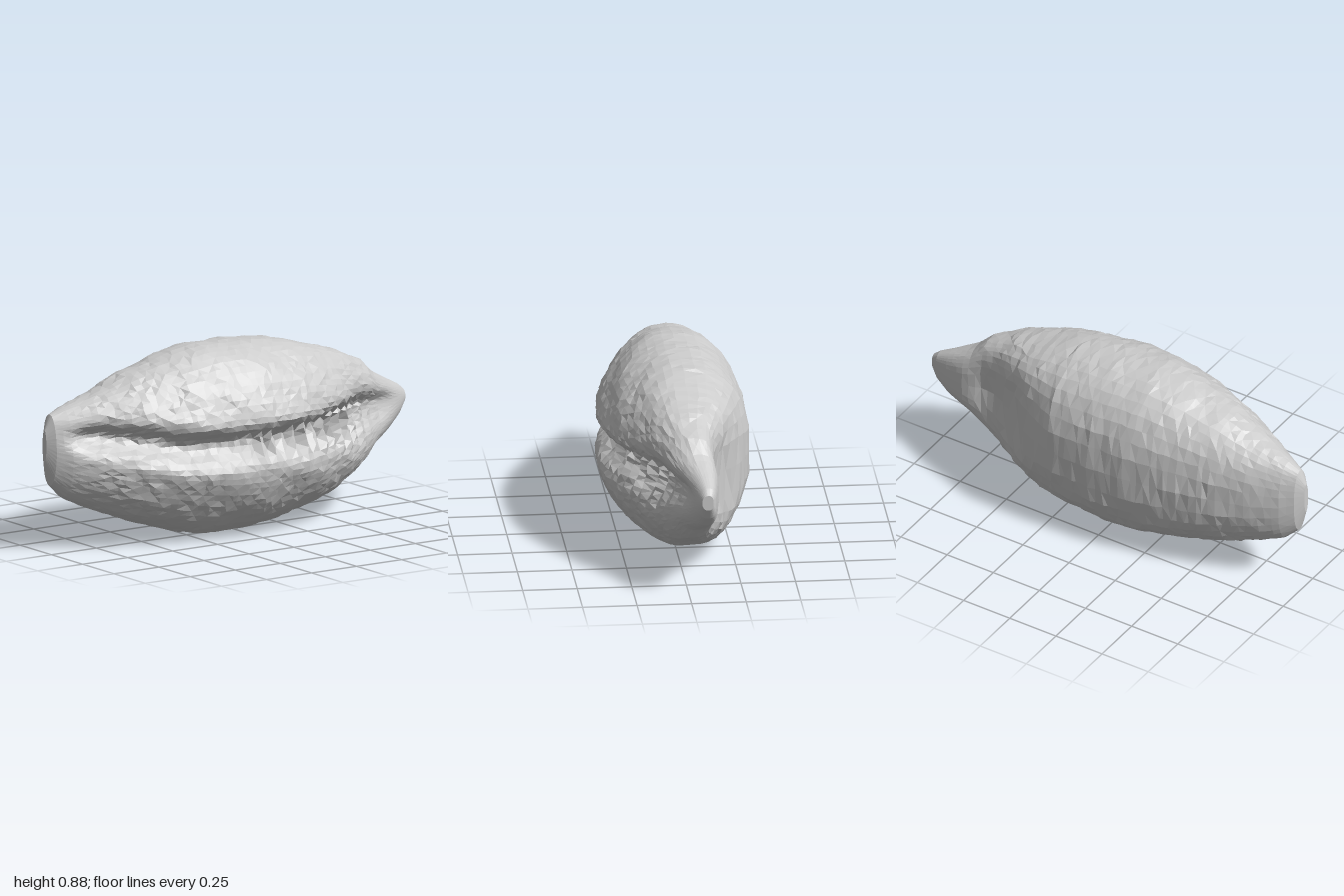
import * as THREE from 'three';

// Outline stations along the shell: x, bottom y, top y, back z, front z
const OUTLINE = [
  [-1, 0.42, 0.57, -0.07, -0.04], [-0.97, 0.31, 0.64, -0.11, -0.005], [-0.9, 0.24, 0.67, -0.15, 0.045],
  [-0.78, 0.185, 0.705, -0.195, 0.12], [-0.58, 0.105, 0.785, -0.255, 0.222], [-0.38, 0.045, 0.845, -0.30, 0.29],
  [-0.2, 0.01, 0.884, -0.333, 0.325], [0, 0.002, 0.885, -0.347, 0.34], [0.22, 0.033, 0.863, -0.345, 0.32],
  [0.36, 0.06, 0.832, -0.29, 0.282], [0.55, 0.125, 0.775, -0.205, 0.205], [0.64, 0.175, 0.735, -0.165, 0.155],
  [0.72, 0.22, 0.7, -0.15, 0.11], [0.79, 0.285, 0.635, -0.145, 0.07], [0.9, 0.34, 0.58, -0.13, 0.0],
  [0.97, 0.4, 0.545, -0.115, -0.035], [1, 0.45, 0.52, -0.1, -0.05],
];
// Slit along the shell: x, height of its floor, width of upper slope, width of lower slope
const SLIT = [
  [-1, 0.53, 0.04, 0.04], [-0.75, 0.53, 0.05, 0.07], [-0.4, 0.465, 0.06, 0.075], [0, 0.46, 0.055, 0.08],
  [0.35, 0.47, 0.065, 0.09], [0.6, 0.485, 0.085, 0.13], [0.8, 0.485, 0.06, 0.1], [1, 0.485, 0.02, 0.02],
];

function sample(table, x, col) {
  let i = 0;
  while (i < table.length - 2 && x > table[i + 1][0]) i++;
  const a = table[i], b = table[i + 1];
  return THREE.MathUtils.lerp(a[col], b[col], (x - a[0]) / (b[0] - a[0]));
}

const hash = (i, j) => {
  const v = Math.sin(i * 127.1 + j * 311.7) * 43758.5453;
  return (v - Math.floor(v)) * 2 - 1;
};
const power = (v, e) => Math.sign(v) * Math.abs(v) ** e;
const bump = (v, centre, width) => Math.exp(-(((v - centre) / width) ** 2));
const { smoothstep } = THREE.MathUtils;

// One point of the shell; s runs -1..1 round the section, 0 at the front
function shellPoint(x, s, i, j) {
  const [bottom, top, back, front] = [1, 2, 3, 4].map((c) => sample(OUTLINE, x, c));
  const t = Math.PI * s * (0.55 + 0.45 * s * s);
  const hy = (top - bottom) / 2, hz = (front - back) / 2;
  const c = Math.cos(t);
  // the back is fuller, and cut off square towards the spout
  const e = c < 0 ? 0.84 - 0.2 * smoothstep(x, 0.2, 0.45) : 1;
  let y = (top + bottom) / 2 + hy * power(Math.sin(t), e);
  let z = (front + back) / 2 + hz * power(c, e) * (c > 0 ? 1 + 0.06 * bump(y, 0.44, 0.22) : 1);

  if (c > 0) {
    // open slit, its floor broken by irregular teeth
    const d = y - sample(SLIT, x, 1);
    const width = sample(SLIT, x, d > 0 ? 2 : 3);
    const ends = smoothstep(1 - Math.abs(x), 0.02, 0.2);
    const toothed = smoothstep(x, -0.3, 0.1) * (1 - smoothstep(x, 0.65, 0.75));
    const tooth = (i % 2) * (0.6 + 0.4 * hash(i, 5)) * (0.15 + 0.85 * toothed);
    let g = Math.exp(-(Math.abs(d / width) ** 2.2));
    if (d < 0.02) g *= 1 - 0.4 * tooth;
    z -= Math.min(0.11, hz * 0.65) * g * ends;
    y += 0.035 * tooth * toothed * g * ends;
  } else {
    // hollow where the domed back meets the spout
    const hollow = smoothstep(x, 0.36, 0.52) * (1 - smoothstep(x, 0.66, 0.84));
    z += 0.045 * hollow * bump(y, 0.45, 0.19) * -c;
  }
  // gentle lumps and facets
  const lump = 0.006 * Math.sin(x * 9 + y * 13) * Math.sin(y * 17 - z * 8 + x * 5);
  const taper = smoothstep(hz, 0.03, 0.25);
  x += 0.009 * hash(i + 3, j + 11) * taper;
  y += (Math.sin(t) * lump + 0.003 * hash(i, j)) * taper;
  z += (c * lump + 0.003 * hash(j, i + 7)) * taper;
  return [x, Math.max(0, y), z];
}

// Closed skin lofted through the sections
function shellGeometry(stations, ring) {
  const pos = [], index = [];
  for (let i = 0; i <= stations; i++) {
    const x = -1 + (2 * i) / stations;
    for (let j = 0; j < ring; j++) pos.push(...shellPoint(x, -1 + (2 * j) / ring, i, j));
  }
  for (let i = 0; i < stations; i++) {
    for (let j = 0; j < ring; j++) {
      const k = (j + 1) % ring;
      const a = i * ring + j, b = a + ring, c = (i + 1) * ring + k, d = i * ring + k;
      if ((i + j) % 2) index.push(a, b, c, a, c, d);
      else index.push(a, b, d, b, c, d);
    }
  }
  // end caps
  const left = pos.length / 3, right = left + 1, last = stations * ring;
  pos.push(-1, 0.495, -0.055, 1, 0.485, -0.075);
  for (let j = 0; j < ring; j++) {
    const k = (j + 1) % ring;
    index.push(left, j, k, right, last + k, last + j);
  }
  const geo = new THREE.BufferGeometry();
  geo.setAttribute('position', new THREE.Float32BufferAttribute(pos, 3));
  geo.setIndex(index);
  geo.computeVertexNormals();
  return geo;
}

export function createModel() {
  const group = new THREE.Group();
  group.name = 'seashell';
  const material = new THREE.MeshStandardMaterial({ color: 0xcccccc, flatShading: true });
  const shell = new THREE.Mesh(shellGeometry(64, 56), material);
  shell.name = 'shell';
  group.add(shell);
  return group;
}
